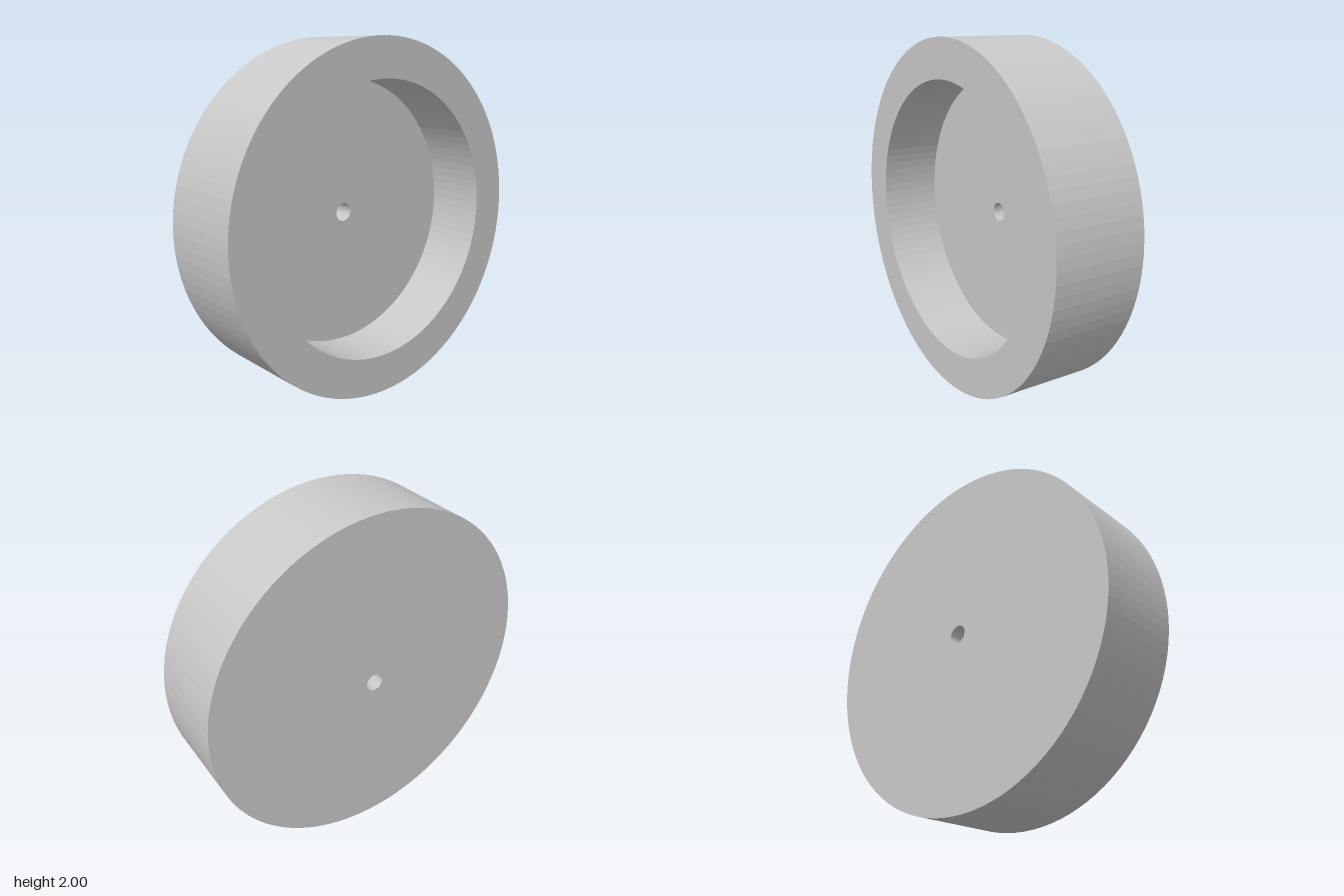
import * as THREE from 'three';

const SEGMENTS = 100;
const HALF_WIDTH = 0.267;
const FLOOR = -0.089; // recess floor, measured along the axle
const OUTER = 1, INNER = 0.778, BORE = 0.053;

export function createModel() {
  const model = new THREE.Group();
  model.name = 'recessedWheel';

  const grey = new THREE.MeshStandardMaterial({ color: 0xc8c8c8 });
  grey.name = 'light grey';

  // Closed cross-section: back face, tread, rim, recess wall, recess floor, bore
  const profile = [
    [BORE, -HALF_WIDTH],
    [OUTER, -HALF_WIDTH],
    [OUTER, HALF_WIDTH],
    [INNER, HALF_WIDTH],
    [INNER, FLOOR],
    [BORE, FLOOR],
    [BORE, -HALF_WIDTH],
  ].map(([r, h]) => new THREE.Vector2(r, h));

  // Faceted lathe, laid over so the axle runs along x and the recess opens to +x
  const geometry = new THREE.LatheGeometry(profile, SEGMENTS).toNonIndexed();
  geometry.rotateZ(-Math.PI / 2);
  geometry.computeVertexNormals();

  const wheel = new THREE.Mesh(geometry, grey);
  wheel.name = 'wheelBody';
  wheel.position.y = OUTER;
  model.add(wheel);
  return model;
}
